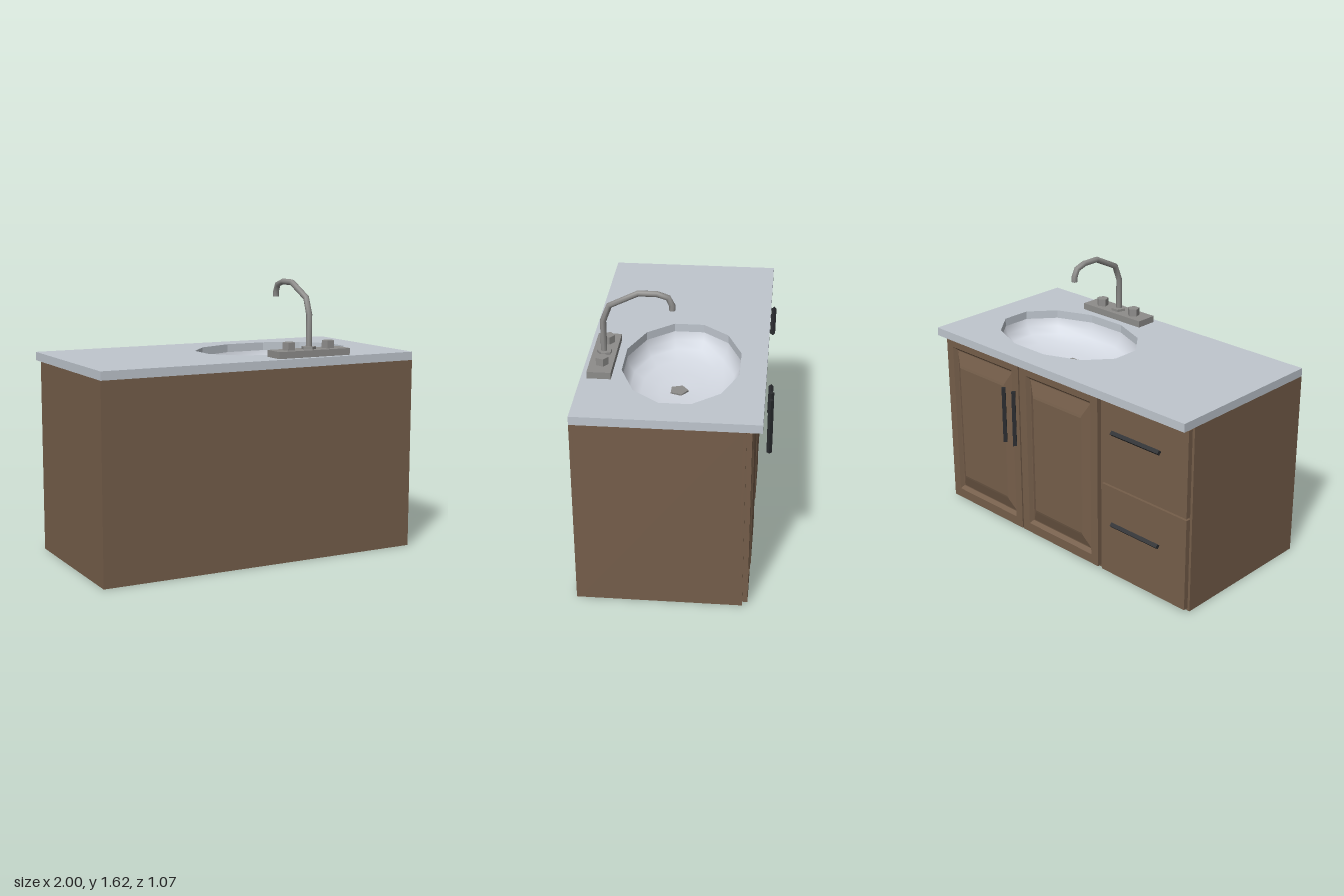
import * as THREE from 'three';

const mat = (name, color, extra = {}) => {
  const m = new THREE.MeshStandardMaterial({ color, ...extra });
  m.name = name;
  return m;
};

// Straight-segment path that keeps its corner points as tube rings
class CornerPath extends THREE.Curve {
  constructor(points) { super(); this.points = points; }
  getPoint(t, target = new THREE.Vector3()) {
    const f = t * (this.points.length - 1);
    const i = Math.min(Math.floor(f + 1e-6), this.points.length - 2);
    return target.lerpVectors(this.points[i], this.points[i + 1], f - i);
  }
  getPointAt(t, target) { return this.getPoint(t, target); }
  getTangentAt(t, target = new THREE.Vector3()) {
    const n = this.points.length - 1, i = Math.round(t * n), p = this.points;
    const dir = (a) => p[a + 1].clone().sub(p[a]).normalize();
    return target.copy(dir(Math.max(i - 1, 0))).add(dir(Math.min(i, n - 1))).normalize();
  }
}

// Panel made of nested rectangles: each ring is [inset x, inset y, z]
function panelGeometry(x0, x1, y0, y1, rings) {
  const loops = rings.map(([ix, iy, z]) => [
    [x0 + ix, y0 + iy, z], [x1 - ix, y0 + iy, z], [x1 - ix, y1 - iy, z], [x0 + ix, y1 - iy, z],
  ]);
  const pos = [];
  const quad = (a, b, c, d) => pos.push(...a, ...b, ...c, ...a, ...c, ...d);
  for (let r = 0; r < loops.length - 1; r++) {
    for (let i = 0; i < 4; i++) {
      const j = (i + 1) % 4;
      quad(loops[r][i], loops[r][j], loops[r + 1][j], loops[r + 1][i]);
    }
  }
  quad(...loops[loops.length - 1]);
  const g = new THREE.BufferGeometry();
  g.setAttribute('position', new THREE.Float32BufferAttribute(pos, 3));
  g.computeVertexNormals();
  return g;
}

export function createModel() {
  const wood = mat('wood', 0x755e4a);
  const stone = mat('counter stone', 0xbfc6ce);
  const porcelain = mat('porcelain', 0xd4d9e2, { side: THREE.DoubleSide });
  const metal = mat('brushed metal', 0x8e8d8b);
  const black = mat('black metal', 0x2a2c2f);

  const model = new THREE.Group();
  model.name = 'sinkCabinet';
  const add = (parent, name, geometry, material, x = 0, y = 0, z = 0) => {
    const m = new THREE.Mesh(geometry, material);
    m.name = name;
    m.position.set(x, y, z);
    parent.add(m);
    return m;
  };
  const box = (parent, name, material, x0, x1, y0, y1, z0, z1) =>
    add(parent, name, new THREE.BoxGeometry(x1 - x0, y1 - y0, z1 - z0), material,
      (x0 + x1) / 2, (y0 + y1) / 2, (z0 + z1) / 2);

  // Cabinet carcass, open at the top for the basin
  const cabinet = new THREE.Group();
  cabinet.name = 'cabinet';
  model.add(cabinet);
  box(cabinet, 'wallPanel', wood, -1, 1, 0, 1.14, 0.515, 0.535);
  box(cabinet, 'doorSidePanel', wood, -1, 1, 0, 1.14, -0.405, -0.385);
  box(cabinet, 'rightSide', wood, -1, -0.98, 0, 1.14, -0.385, 0.515);
  box(cabinet, 'leftSide', wood, 0.98, 1, 0, 1.14, -0.385, 0.515);
  box(cabinet, 'floor', wood, -0.98, 0.98, 0, 0.02, -0.385, 0.515);

  // Countertop with a twelve-sided oval opening
  const sinkX = 0.34, sinkZ = -0.01, rx = 0.49, rz = 0.341;
  const slab = new THREE.Shape([[-1, -0.535], [1, -0.535], [1, 0.49], [-1, 0.49]]
    .map(([x, y]) => new THREE.Vector2(x, y)));
  const hole = [];
  for (let i = 0; i < 12; i++) {
    const a = (i + 0.5) * Math.PI / 6;
    hole.push(new THREE.Vector2(sinkX + rx * Math.sin(a), -sinkZ + rz * Math.cos(a)));
  }
  slab.holes.push(new THREE.Path(hole));
  const top = new THREE.ExtrudeGeometry(slab, { depth: 0.05, bevelEnabled: false });
  top.rotateX(-Math.PI / 2);
  add(model, 'countertop', top, stone, 0, 1.14, 0);

  // Basin and drain
  const profile = [[1, -0.05], [0.97, -0.1], [0.88, -0.14], [0.7, -0.17], [0.4, -0.188], [0, -0.195]]
    .map(([r, y]) => new THREE.Vector2(r, y));
  const bowl = new THREE.LatheGeometry(profile, 12, Math.PI / 12);
  bowl.scale(rx, 1, rz);
  add(model, 'basin', bowl, porcelain, sinkX, 1.19, sinkZ);
  const drain = new THREE.CylinderGeometry(0.055, 0.055, 0.012, 5, 1, false, Math.PI);
  add(model, 'drain', drain, metal, sinkX, 1.0, 0.01);

  // Faucet
  const faucet = new THREE.Group();
  faucet.name = 'faucet';
  model.add(faucet);
  box(faucet, 'faucetBase', metal, 0.105, 0.58, 1.19, 1.23, 0.365, 0.5);
  const pentagon = (r, h, start) =>
    new THREE.CylinderGeometry(r, r, h, 5, 1, false, start).toNonIndexed();
  for (const x of [0.21, 0.475]) {
    const knob = pentagon(0.038, 0.045, Math.PI);
    knob.computeVertexNormals();
    add(faucet, 'knob', knob, metal, x, 1.2525, 0.428);
  }
  const collar = pentagon(0.045, 0.015, 0);
  collar.computeVertexNormals();
  add(faucet, 'spoutCollar', collar, metal, sinkX, 1.2375, 0.43);
  const path = [[1.23, 0.435], [1.43, 0.435], [1.525, 0.398], [1.605, 0.235], [1.605, 0.13],
    [1.585, 0.068], [1.54, 0.046], [1.51, 0.046]].map(([y, z]) => new THREE.Vector3(sinkX, y, z));
  add(faucet, 'spout', new THREE.TubeGeometry(new CornerPath(path), path.length - 1, 0.018, 8), metal);
  const tip = new THREE.CircleGeometry(0.018, 8);
  tip.rotateX(Math.PI / 2);
  add(faucet, 'spoutTip', tip, metal, sinkX, 1.51, 0.046);

  // Doors, drawers and handles, built facing +z and turned to the door side
  const fronts = new THREE.Group();
  fronts.name = 'cabinetFronts';
  fronts.rotation.y = Math.PI;
  model.add(fronts);
  const doorRings = [[0, 0, 0.405], [0, 0, 0.435], [0.055, 0.06, 0.435], [0.07, 0.08, 0.413],
    [0.075, 0.085, 0.413], [0.12, 0.165, 0.44], [0.125, 0.18, 0.444]];
  for (const [x0, x1] of [[-0.985, -0.338], [-0.328, 0.315]])
    add(fronts, 'door', panelGeometry(x0, x1, 0.015, 1.125, doorRings), wood);
  for (const [y0, y1] of [[0.015, 0.585], [0.597, 1.125]])
    box(fronts, 'drawer', wood, 0.35, 0.985, y0, y1, 0.405, 0.435);

  const bar = () => new THREE.CylinderGeometry(0.016, 0.016, 0.35, 4).toNonIndexed();
  for (const x of [-0.375, -0.29]) {
    const g = bar();
    g.computeVertexNormals();
    add(fronts, 'doorHandle', g, black, x, 0.81, 0.519);
  }
  for (const y of [0.972, 0.395]) {
    const g = bar();
    g.rotateZ(Math.PI / 2);
    g.computeVertexNormals();
    add(fronts, 'drawerHandle', g, black, 0.665, y, 0.503);
  }
  return model;
}
